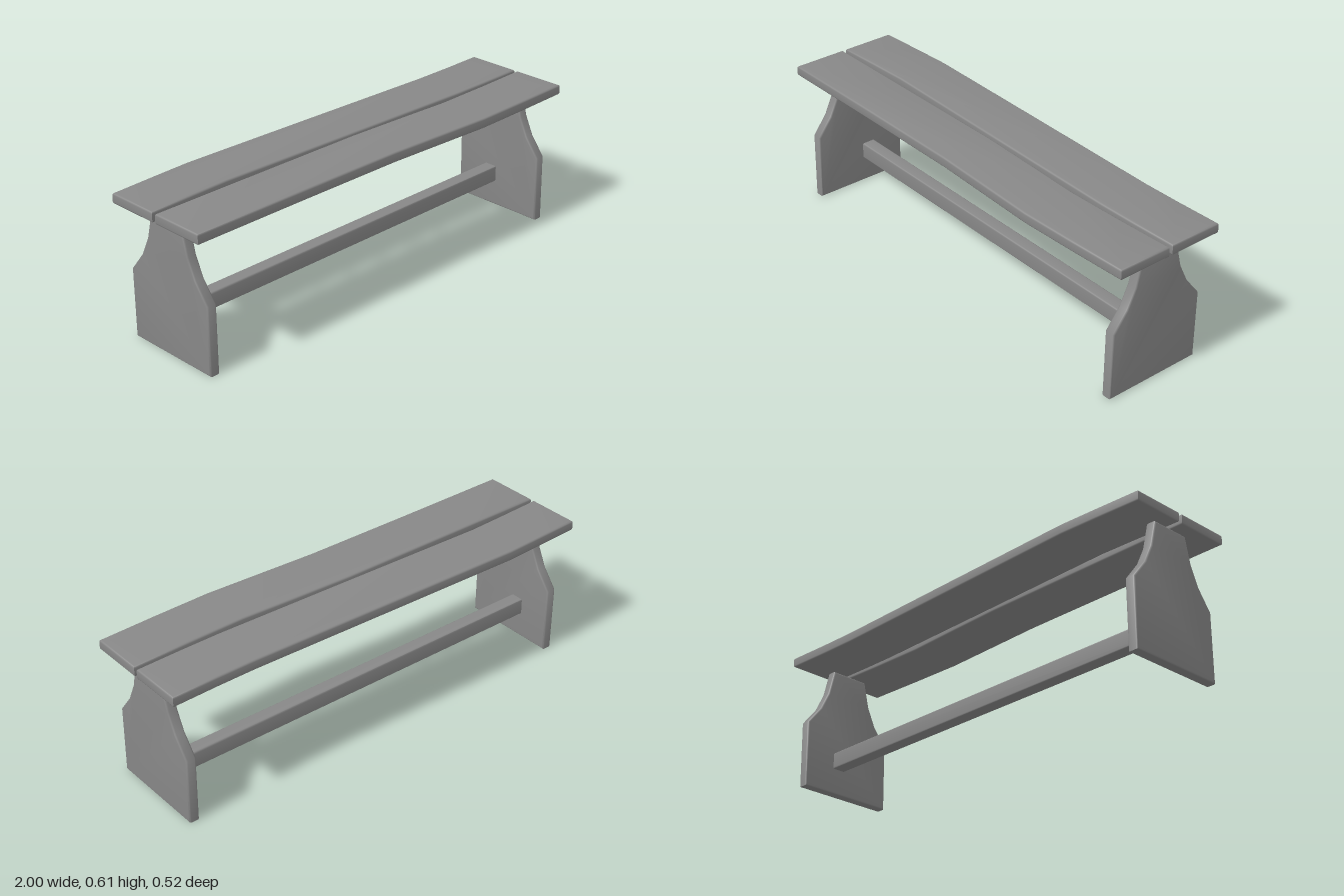
import * as THREE from 'three';
import { toCreasedNormals } from 'three/addons/utils/BufferGeometryUtils.js';

const material = new THREE.MeshStandardMaterial({ color: 0x888888 });

// Board cut from a flat outline, with softened edges, centred on its thickness
function board(outline, thickness, bevel) {
  const shape = new THREE.Shape(outline.map(([x, y]) => new THREE.Vector2(x, y)));
  const geometry = new THREE.ExtrudeGeometry(shape, {
    depth: thickness - 2 * bevel,
    bevelThickness: bevel,
    bevelSize: bevel,
    bevelOffset: -bevel,
    bevelSegments: 4,
  });
  geometry.translate(0, 0, bevel - thickness / 2);
  // Enlarged while smoothing, because nearby points are merged at a fixed distance
  geometry.scale(100, 100, 100);
  return toCreasedNormals(geometry, 0.9).scale(0.01, 0.01, 0.01);
}

function addPart(group, name, geometry, x, y, z) {
  const mesh = new THREE.Mesh(geometry, material);
  mesh.name = name;
  mesh.position.set(x, y, z);
  group.add(mesh);
}

// Seat plank from its two long wavy edges, given as [x, z] points
function plank(innerEdge, outerEdge) {
  const outline = [...innerEdge, ...[...outerEdge].reverse()].map(([x, z]) => [x, -z]);
  return board(outline, 0.044, 0.008).rotateX(-Math.PI / 2);
}

export function createModel() {
  const bench = new THREE.Group();
  bench.name = 'bench';

  // Seat: two planks with a narrow uneven gap
  addPart(bench, 'frontPlank', plank(
    [[-1, 0.008], [-0.5, 0.006], [0, 0.005], [0.25, 0.014], [0.5, 0.025], [0.75, 0.019], [1, 0.009]],
    [[-1, 0.243], [-0.5, 0.24], [0, 0.24], [0.25, 0.25], [0.5, 0.26], [0.75, 0.253], [1, 0.243]],
  ), 0, 0.591, 0);
  addPart(bench, 'backPlank', plank(
    [[-1, -0.009], [-0.8, -0.019], [-0.63, -0.026], [0, -0.012], [0.63, 0.001], [0.8, -0.001], [1, -0.007]],
    [[-1, -0.239], [-0.8, -0.25], [-0.63, -0.258], [0, -0.245], [0.63, -0.231], [0.8, -0.233], [1, -0.239]],
  ), 0, 0.591, 0);

  // End panels: wide foot narrowing to the seat, outline in [z, y]
  const panel = board([
    [-0.214, 0], [-0.217, 0.291], [-0.152, 0.373], [-0.113, 0.454], [-0.085, 0.567],
    [0.088, 0.567], [0.115, 0.454], [0.153, 0.373], [0.216, 0.291], [0.219, 0],
  ], 0.045, 0.008).rotateY(-Math.PI / 2);
  for (const [name, side] of [['leftEndPanel', 1], ['rightEndPanel', -1]]) {
    addPart(bench, name, panel, side * 0.926, 0, 0);
  }

  // Stretcher rail joining the panels, set slightly behind the middle
  const rail = board([[-0.915, -0.0365], [0.915, -0.0365], [0.915, 0.0365], [-0.915, 0.0365]], 0.062, 0.008);
  addPart(bench, 'stretcherRail', rail, 0, 0.1485, -0.04);

  return bench;
}
